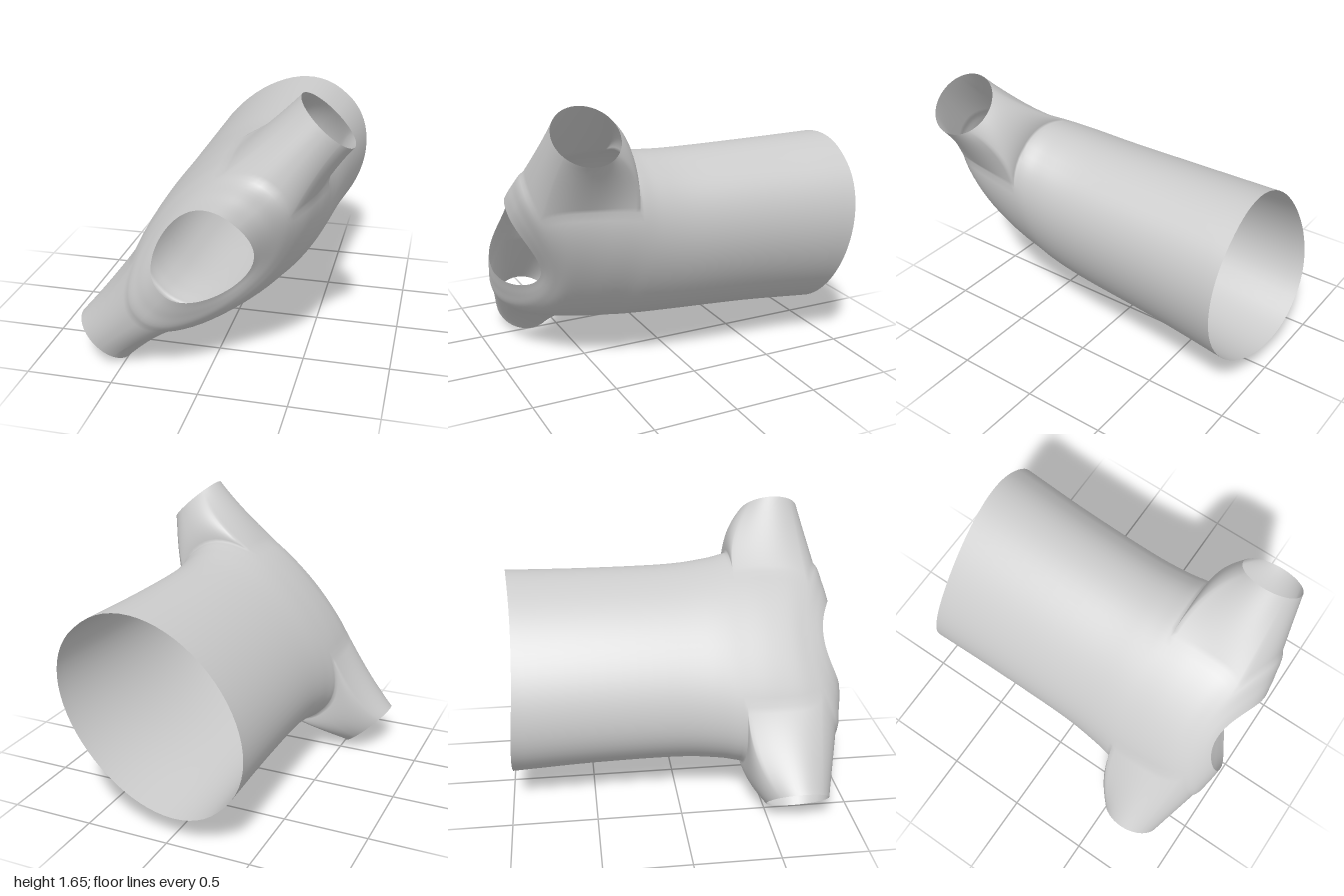
import * as THREE from 'three';
import { mergeGeometries, mergeVertices } from 'three/addons/utils/BufferGeometryUtils.js';

const SEG = 64, SUB = 6;              // points round the body, rings between two stations
const ARM = { from: -9, to: 5, lo: 4 * SUB, hi: 7 * SUB }; // armhole patch on the body grid

// Body stations from hem to neckline: z, half width, back, front, extra z at the sides
const stations = [
  [-0.95, 0.62, -0.465, 0.505, -0.04],
  [-0.5, 0.605, -0.46, 0.455, 0],
  [0, 0.605, -0.455, 0.415, 0],
  [0.25, 0.63, -0.455, 0.385, 0],
  [0.39, 0.66, -0.45, 0.355, 0],
  [0.55, 0.67, -0.44, 0.32, 0.01],
  [0.7, 0.65, -0.42, 0.27, 0.1],
  [0.78, 0.56, -0.395, 0.22, 0.17],
  [0.83, 0.42, -0.37, 0.18, 0.155],
  [0.865, 0.295, -0.345, 0.14, 0.135],
];
const profile = new THREE.CubicInterpolant(stations.map((_, i) => i), stations.flat(), 5, new Float32Array(5));

// Garment space: d runs shoulder to shoulder, n from back to front, z from hem to neck
const toWorld = ([d, n, z]) => [0.1 + 0.672 * d + 0.741 * n, 0.74 + 0.741 * d - 0.672 * n, z];

function bodyPoint(i, row) {
  const [z, a, back, front, lift] = profile.evaluate(row / SUB);
  const th = (i / SEG) * Math.PI * 2, c = Math.cos(th), s = Math.sin(th);
  const bow = s < 0 ? -((-s) ** 0.84) : s; // the back is flatter than the front
  const tilt = -0.035 * s * THREE.MathUtils.smoothstep(row, 6 * SUB, 9 * SUB); // neckline dips at the front
  return [a * c, (back + front) / 2 + ((front - back) / 2) * bow, z + lift * c * c + tilt];
}

// Skin over closed rings, with optional gaps
function loft(rings, flip, skip = () => false) {
  const n = rings[0].length, index = [];
  for (let r = 0; r < rings.length - 1; r++) {
    for (let i = 0; i < n; i++) {
      if (skip(i, r)) continue;
      const a = r * n + i, b = r * n + ((i + 1) % n), c = a + n, d = b + n;
      if (flip) index.push(a, b, c, b, d, c);
      else index.push(a, c, b, b, c, d);
    }
  }
  const geo = new THREE.BufferGeometry();
  geo.setAttribute('position', new THREE.Float32BufferAttribute(rings.flat().flatMap(toWorld), 3));
  geo.setIndex(index);
  return geo;
}

// Body tube with both armholes left open
function bodyGeometry() {
  const rings = [];
  for (let r = 0; r <= (stations.length - 1) * SUB; r++) {
    rings.push(Array.from({ length: SEG }, (_, i) => bodyPoint(i, r)));
  }
  const inArm = (i) => i >= ARM.from && i < ARM.to;
  return loft(rings, false, (i, r) => {
    if (r < ARM.lo || r >= ARM.hi) return false;
    return inArm(i) || inArm(i - SEG) || inArm(SEG / 2 - 1 - i);
  });
}

// Sleeve from the armhole edge to a round cuff
function sleeveGeometry(side) {
  const { from, to, lo, hi } = ARM, edge = [];
  const add = (i, r) => edge.push(bodyPoint(side > 0 ? i : SEG / 2 - i, r));
  for (let i = from; i < to; i++) add(i, lo);
  for (let r = lo; r < hi; r++) add(to, r);
  for (let i = to; i > from; i--) add(i, hi);
  for (let r = hi; r > lo; r--) add(from, r);

  const steps = 14, cuffZ = side > 0 ? 0.7 : 0.67, rings = [];
  for (let k = 0; k <= steps; k++) {
    const t = k / steps, quick = 1 - (1 - t) ** 1.5, slow = t ** 2.1;
    rings.push(edge.map(([d, n, z]) => {
      const ang = Math.atan2(z - 0.65, n + 0.12);
      const cuff = [side * 0.94, -0.14 + 0.19 * Math.cos(ang), cuffZ + 0.185 * Math.sin(ang)];
      const under = THREE.MathUtils.smoothstep(-z, -0.75, -0.5); // fuller underarm
      return [
        THREE.MathUtils.lerp(d, cuff[0], t),
        THREE.MathUtils.lerp(n, cuff[1], quick),
        THREE.MathUtils.lerp(z, cuff[2], THREE.MathUtils.lerp(t, slow, under)),
      ];
    }));
  }
  return loft(rings, side < 0);
}

export function createModel() {
  const group = new THREE.Group();
  group.name = 'shirt';
  const cloth = new THREE.MeshStandardMaterial({ color: 0xcccccc, side: THREE.DoubleSide });
  const parts = { body: bodyGeometry(), leftSleeve: sleeveGeometry(1), rightSleeve: sleeveGeometry(-1) };

  // Normals are worked out on the welded shirt so the armholes shade smoothly
  const whole = mergeVertices(mergeGeometries(Object.values(parts)));
  whole.computeVertexNormals();
  let start = 0;
  for (const [name, part] of Object.entries(parts)) {
    const end = start + part.index.count;
    const piece = whole.clone();
    piece.setIndex(Array.from(whole.index.array.slice(start, end)));
    const mesh = new THREE.Mesh(piece.toNonIndexed(), cloth);
    mesh.name = name;
    group.add(mesh);
    start = end;
  }
  return group;
}
